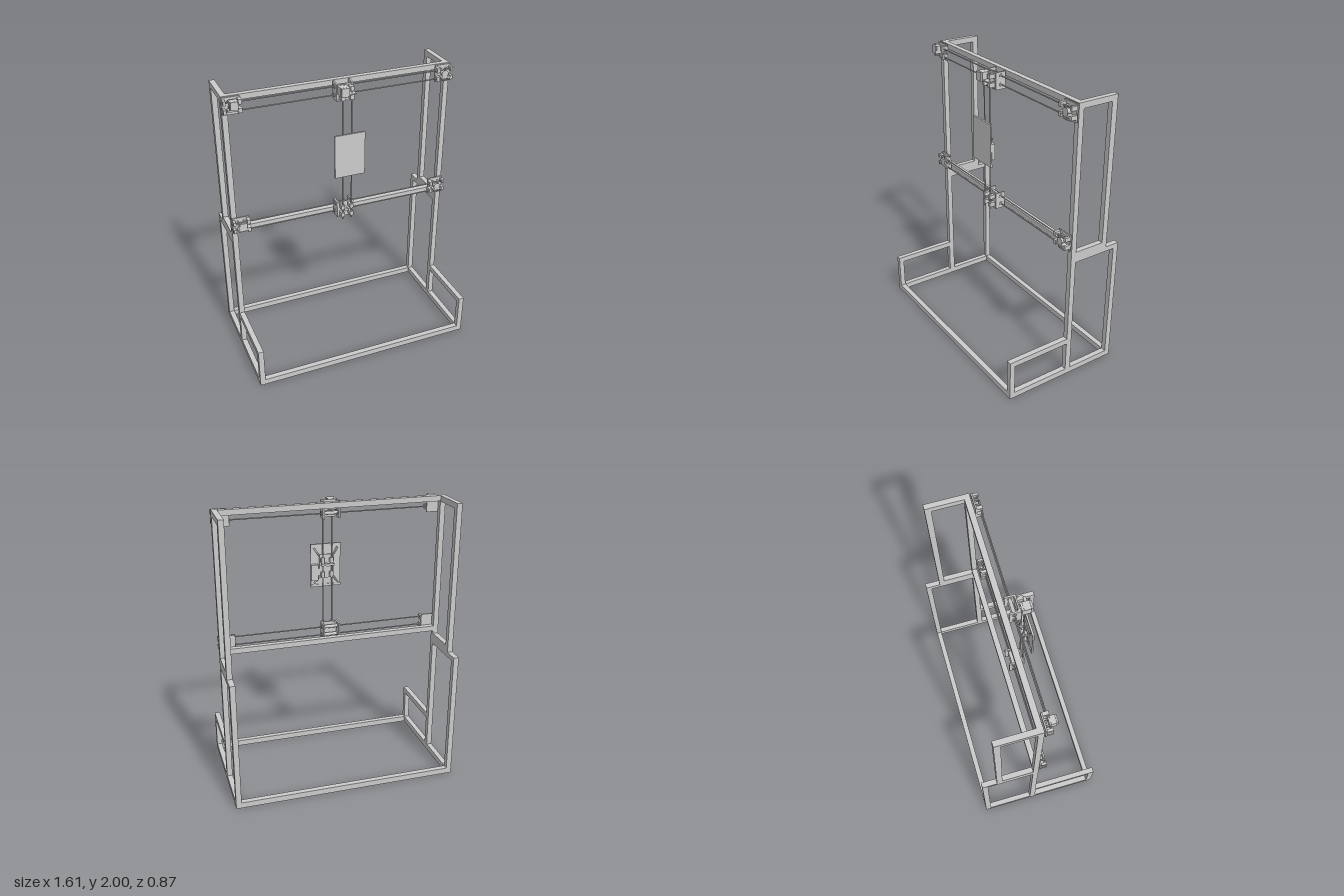
import * as THREE from 'three';

const mat = new THREE.MeshStandardMaterial({ color: 0xcccccc, flatShading: true });
const smooth = new THREE.MeshStandardMaterial({ color: 0xcccccc });

// Box given by its limits on each axis
function box(parent, name, x0, x1, y0, y1, z0, z1) {
  const m = new THREE.Mesh(new THREE.BoxGeometry(x1 - x0, y1 - y0, z1 - z0), mat);
  m.position.set((x0 + x1) / 2, (y0 + y1) / 2, (z0 + z1) / 2);
  m.name = name;
  parent.add(m);
  return m;
}

// Cylinder between two points
function rod(parent, name, a, b, r, sides = 12) {
  const p = new THREE.Vector3(...a), q = new THREE.Vector3(...b);
  const m = new THREE.Mesh(new THREE.CylinderGeometry(r, r, p.distanceTo(q), sides), smooth);
  m.position.copy(p).add(q).multiplyScalar(0.5);
  m.quaternion.setFromUnitVectors(new THREE.Vector3(0, 1, 0), q.sub(p).normalize());
  m.name = name;
  parent.add(m);
  return m;
}

function group(parent, name, x = 0, y = 0, z = 0) {
  const g = new THREE.Group();
  g.name = name;
  g.position.set(x, y, z);
  parent.add(g);
  return g;
}

function rectPath(z0, z1, y0, y1) {
  return new THREE.Path([[z0, y0], [z0, y1], [z1, y1], [z1, y0]].map(p => new THREE.Vector2(...p)));
}

// Stepped side frame drawn as (z, y), with four openings
function sideFrame(parent, name, x0, width) {
  const s = new THREE.Shape([
    [0.435, 0], [0.435, 0.3], [-0.035, 0.3], [-0.035, 2], [-0.335, 2],
    [-0.33, 0.936], [-0.435, 0.936], [-0.435, 0],
  ].map(p => new THREE.Vector2(...p)));
  s.holes.push(
    rectPath(0.398, -0.032, 0.042, 0.26),
    rectPath(-0.073, -0.396, 0.042, 0.902),
    rectPath(-0.073, -0.292, 0.98, 1.96),
  );
  const geo = new THREE.ExtrudeGeometry(s, { depth: width, bevelEnabled: false });
  geo.rotateY(-Math.PI / 2); // shape x becomes z, depth becomes -x
  const m = new THREE.Mesh(geo, mat);
  m.position.x = x0 + width;
  m.name = name;
  parent.add(m);
}

// Small square motor with front boss and shaft, facing along z
function motor(parent, name, x, y, z0, z1, size) {
  const g = group(parent, name, x, y, 0);
  const h = size / 2, d = z1 - z0;
  box(g, 'motorBody', -h, h, -h, h, z0 + d * 0.2, z1 - d * 0.2);
  box(g, 'motorRearCap', -h * 0.9, h * 0.9, -h, h, z1 - d * 0.18, z1);
  box(g, 'motorFlange', -h, h, -h, h, z0, z0 + d * 0.18);
  rod(g, 'motorCore', [0, 0, z0], [0, 0, z1], h * 0.85);
  rod(g, 'motorShaft', [0, 0, z0 - 0.04], [0, 0, z0], 0.005);
}

// Corner bracket: back plate, rod clamps, pulley and bolts; side = -1 or 1
function cornerUnit(parent, name, side, y0) {
  const g = group(parent, name, side * 0.745, y0, 0);
  box(g, 'backPlate', -0.058, 0.058, 0, 0.118, -0.027, -0.017);
  const inner = -side * 0.05;
  for (const y of [0.033, 0.092]) {
    box(g, 'rodClamp', inner - 0.012, inner + 0.012, y - 0.016, y + 0.016, -0.017, 0.022);
    box(g, 'rodClampOuter', -inner - 0.009, -inner + 0.009, y - 0.014, y + 0.014, -0.017, 0.02);
    for (const x of [-0.02, 0.02]) rod(g, 'bolt', [x, y, -0.017], [x, y, 0.012], 0.006, 6);
  }
  rod(g, 'pulley', [0, 0.062, -0.017], [0, 0.062, 0.02], 0.02, 16);
  rod(g, 'pulleyFlange', [0, 0.062, 0.016], [0, 0.062, 0.021], 0.025, 16);
  box(g, 'sideLip', -0.03, 0.04, 0.03, 0.042, -0.017, 0.018);
  if (side > 0) {
    // Belt tensioner teeth
    for (let i = 0; i < 5; i++) box(g, 'tensionerTooth', -0.015 + i * 0.013, -0.008 + i * 0.013, 0.012, 0.03, -0.017, 0.02);
  }
  return g;
}

// Trolley riding on the horizontal rods and holding the vertical rods
function trolley(parent, name, y0) {
  const g = group(parent, name, 0, y0, 0);
  for (const x of [-0.058, 0.052]) {
    box(g, 'cheekPlate', x - 0.006, x + 0.006, 0, 0.118, -0.025, 0.05);
    for (const y of [0.033, 0.092]) rod(g, 'bearingCap', [x - 0.011, y, 0.008], [x + 0.011, y, 0.008], 0.014);
  }
  box(g, 'facePlate', -0.06, 0.055, 0, 0.118, 0.036, 0.046);
  for (const y of [0.033, 0.092]) {
    rod(g, 'linearBearing', [-0.05, y, 0.008], [0.045, y, 0.008], 0.012);
    for (const x of [-0.034, 0.03]) {
      box(g, 'rodHolder', x - 0.013, x + 0.013, y - 0.015, y + 0.015, 0.046, 0.09);
    }
  }
  for (const y of [0.01, 0.108]) {
    for (const x of [-0.045, 0.04]) rod(g, 'bolt', [x, y, 0.03], [x, y, 0.056], 0.006, 6);
  }
  rod(g, 'beltIdler', [-0.002, 0.06, 0.046], [-0.002, 0.06, 0.07], 0.014, 16);
  return g;
}

export function createModel() {
  const root = new THREE.Group();
  root.name = 'plotterStand';

  // Welded stand
  const stand = group(root, 'stand');
  sideFrame(stand, 'rightSideFrame', -0.805, 0.038);
  sideFrame(stand, 'leftSideFrame', 0.767, 0.038);
  box(stand, 'frontFloorBar', -0.768, 0.768, 0, 0.042, 0.397, 0.435);
  box(stand, 'backFloorBar', -0.768, 0.768, 0, 0.042, -0.435, -0.397);
  box(stand, 'topBeam', -0.768, 0.768, 1.962, 2, -0.075, -0.036);
  box(stand, 'middleBeam', -0.768, 0.768, 1.002, 1.04, -0.075, -0.036);

  // Horizontal axes, upper and lower
  for (const [label, y] of [['upper', 1.88], ['lower', 1.003]]) {
    const axis = group(root, label + 'Axis');
    cornerUnit(axis, 'rightCornerUnit', -1, y);
    cornerUnit(axis, 'leftCornerUnit', 1, y);
    for (const dy of [0.033, 0.092]) {
      rod(axis, 'horizontalRod', [-0.79, y + dy, 0.008], [0.8, y + dy, 0.008], 0.0045);
    }
    for (const dy of [0.052, 0.072]) {
      if (label === 'lower') continue;
      box(axis, 'beltEnd', -0.06, 0.055, y + dy - 0.002, y + dy + 0.002, 0.004, 0.012);
    }
    trolley(axis, 'trolley', y);
  }
  motor(root, 'horizontalMotor', -0.742, 1.963, 0.005, 0.058, 0.055);
  motor(root, 'verticalMotor', -0.032, 1.966, 0.055, 0.128, 0.06);
  box(root, 'verticalMotorMount', -0.062, 0.05, 1.938, 1.946, 0.046, 0.11);
  box(root, 'lowerCornerCover', -0.76, -0.71, 1.03, 1.09, 0.005, 0.022);

  // Vertical rods
  for (const x of [-0.034, 0.03]) rod(root, 'verticalRod', [x, 1.0, 0.08], [x, 1.99, 0.08], 0.0045);

  // Sliding head with its face panel
  const head = group(root, 'slidingHead');
  box(head, 'facePanel', -0.108, 0.108, 1.38, 1.655, 0.117, 0.127);
  for (const [a, b] of [[1.362, 1.38], [1.655, 1.673]]) {
    box(head, 'panelEndStrip', -0.108, 0.108, a, b, 0.113, 0.127);
  }
  box(head, 'backPlate', -0.055, 0.05, 1.43, 1.6, 0.1, 0.108);
  for (const x of [-0.034, 0.03]) {
    for (const y of [1.46, 1.56]) {
      rod(head, 'slideBearing', [x, y - 0.022, 0.08], [x, y + 0.022, 0.08], 0.011);
      box(head, 'bearingBlock', x - 0.014, x + 0.014, y - 0.014, y + 0.014, 0.08, 0.101);
    }
    // Spread arms to the panel corners
    const s = Math.sign(x);
    rod(head, 'upperArm', [x, 1.56, 0.105], [s * 0.085, 1.645, 0.113], 0.006, 6);
    rod(head, 'lowerArm', [x, 1.46, 0.105], [s * 0.085, 1.39, 0.113], 0.006, 6);
  }
  box(head, 'crossArm', -0.05, 0.045, 1.525, 1.54, 0.064, 0.074);
  rod(head, 'pivot', [0, 1.53, 0.06], [0, 1.53, 0.117], 0.01);
  box(head, 'spacer', -0.04, 0.035, 1.49, 1.55, 0.106, 0.118);
  box(head, 'servo', 0.06, 0.11, 1.415, 1.53, 0.09, 0.118);
  box(head, 'servoTab', 0.05, 0.062, 1.45, 1.5, 0.095, 0.11);
  return root;
}
